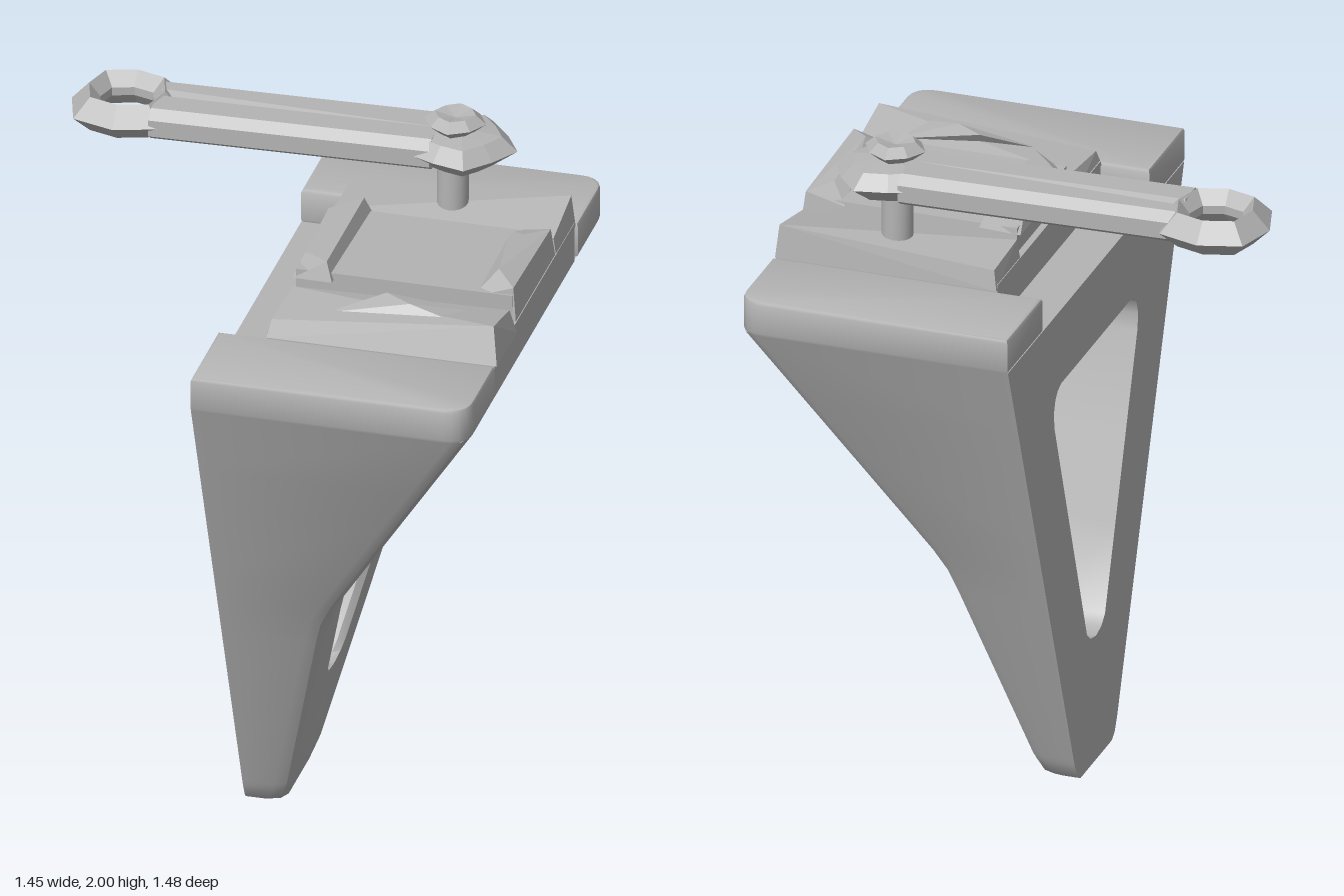
import * as THREE from 'three';
import { toCreasedNormals } from 'three/addons/utils/BufferGeometryUtils.js';
import { ConvexGeometry } from 'three/addons/geometries/ConvexGeometry.js';

const BACK = -0.09;
const TOP = 1.53;
// Profiles as [height, value]
const WIDTH = [[0, 0.13], [0.015, 0.155], [0.06, 0.178], [TOP, 0.735]];
const DEPTH = [[0, 0], [0.015, 0.025], [0.08, 0.05], [0.2, 0.08], [0.66, 0.195], [0.73, 0.215], [0.8, 0.25], [0.88, 0.3], [TOP, 0.71]];
const HOLE = [[0.385, 0], [0.395, 0.045], [0.42, 0.075], [1.18, 0.345], [1.23, 0.352], [1.27, 0.338], [1.29, 0.318], [1.3, 0.29]];

function sample(table, y) {
  if (y <= table[0][0]) return table[0][1];
  for (let i = 1; i < table.length; i++) {
    const [y0, a] = table[i - 1], [y1, b] = table[i];
    if (y <= y1) return a + (b - a) * (y - y0) / (y1 - y0);
  }
  return table[table.length - 1][1];
}

// Horizontal cross-section of one half of the bracket
function crossSection(y, h) {
  const w = sample(WIDTH, y), d = sample(DEPTH, y);
  const r = Math.min(0.045, (d - BACK) * 0.4);
  const s = h > 0 ? 0.02 : 0;
  return [[BACK, h], [BACK, w], [d - r, w], [d - r * 0.3, w - r * 0.3], [d, w - r], [d, h + s], [d - s, h]]
    .map(([x, z]) => new THREE.Vector3(x, y, z));
}

// Both legs, lofted upwards and mirrored; they join below and above the hole
function bracketGeometry() {
  const heights = [...new Set([...WIDTH, ...DEPTH, ...HOLE].map((p) => p[0]))].sort((a, b) => a - b);
  const rows = [];
  for (const y of heights) {
    const h = y > 1.3 ? 0 : sample(HOLE, y);
    rows.push({ h, ring: crossSection(y, h) });
    if (y === 1.3) rows.push({ h: 0, ring: crossSection(y, 0) });
  }
  const pos = [];
  const tri = (a, b, c) => {
    const area = b.clone().sub(a).cross(c.clone().sub(a)).length();
    if (area < 1e-7) return;
    for (const p of [a, b, c]) pos.push(p.x, p.y, p.z);
    for (const p of [a, c, b]) pos.push(p.x, p.y, -p.z);
  };
  const n = rows[0].ring.length;
  for (let j = 0; j + 1 < rows.length; j++) {
    const lo = rows[j], hi = rows[j + 1];
    for (let k = 0; k < n; k++) {
      const m = (k + 1) % n;
      if (k >= n - 2 && lo.h === 0 && hi.h === 0) continue;
      tri(lo.ring[k], lo.ring[m], hi.ring[m]);
      tri(lo.ring[k], hi.ring[m], hi.ring[k]);
    }
  }
  const bottom = rows[0].ring, top = rows[rows.length - 1].ring;
  for (let k = 1; k + 1 < n; k++) {
    tri(bottom[0], bottom[k + 1], bottom[k]);
    tri(top[0], top[k], top[k + 1]);
  }
  const g = new THREE.BufferGeometry();
  g.setAttribute('position', new THREE.Float32BufferAttribute(pos, 3));
  return toCreasedNormals(g, 0.6);
}

// End pad: rounded at its outer front corner, with softened edges
function padGeometry() {
  const b = 0.012, x0 = BACK + b, x1 = 0.715 - b, z0 = 0.445 + b, z1 = 0.74 - b, r = 0.06;
  const s = new THREE.Shape();
  s.moveTo(x0, -z0);
  s.lineTo(x0, -z1);
  s.lineTo(x1 - r, -z1);
  s.quadraticCurveTo(x1, -z1, x1, -z1 + r);
  s.lineTo(x1, -z0);
  s.closePath();
  const g = new THREE.ExtrudeGeometry(s, { depth: 0.11 - 2 * b, bevelThickness: b, bevelSize: b, bevelSegments: 2, curveSegments: 5 });
  g.rotateX(-Math.PI / 2).translate(0, TOP - 0.005 + b, 0);
  return toCreasedNormals(g, 0.6);
}

// The same pad for the other end, with its faces turned back outwards
function mirrorZ(geometry) {
  const g = geometry.clone().scale(1, 1, -1);
  for (const name of ['position', 'normal']) {
    const a = g.attributes[name];
    for (let i = 0; i < a.count; i += 3) {
      const p = [a.getX(i + 1), a.getY(i + 1), a.getZ(i + 1)];
      a.setXYZ(i + 1, a.getX(i + 2), a.getY(i + 2), a.getZ(i + 2));
      a.setXYZ(i + 2, ...p);
    }
  }
  return g;
}

const hull = (points) => new ConvexGeometry(points.map((p) => new THREE.Vector3(...p)));

// Block with a flat base and four free top corners
const block = (x0, x1, z0, z1, y, tops) =>
  hull([[x0, y, z0], [x1, y, z0], [x0, y, z1], [x1, y, z1], ...tops]);

// Faceted turned part; every other spoke is drawn in slightly
function faceted(profile, sides, shrink) {
  const g = new THREE.LatheGeometry(profile.map((p) => new THREE.Vector2(...p)), sides);
  const a = g.attributes.position;
  const rowLength = profile.length;
  for (let i = 0; i < a.count; i++) {
    const spoke = Math.floor(i / rowLength) % sides;
    if (spoke % 2) a.setXYZ(i, a.getX(i) * shrink, a.getY(i), a.getZ(i) * shrink);
  }
  return toCreasedNormals(g, 0.01);
}

export function createModel() {
  const model = new THREE.Group();
  const gray = new THREE.MeshStandardMaterial({ color: 0xb4b4b4 });
  gray.name = 'plain gray';
  const add = (name, geometry, x = 0, y = 0, z = 0) => {
    const mesh = new THREE.Mesh(geometry, gray);
    mesh.name = name;
    mesh.position.set(x, y, z);
    model.add(mesh);
    return mesh;
  };

  // Wall bracket and end pads
  add('bracket', bracketGeometry());
  const pad = padGeometry();
  add('frontPad', pad);
  add('rearPad', mirrorZ(pad));

  // Clamp bed and its three worn blocks
  add('clampBed', new THREE.BoxGeometry(0.66, 0.12, 0.86), 0.38, 1.585, 0);
  add('rearBlock', block(0.05, 0.71, -0.44, -0.235, 1.63,
    [[0.06, 1.69, -0.43], [0.7, 1.73, -0.43], [0.06, 1.7, -0.24], [0.7, 1.69, -0.24]]));
  add('frontBlock', block(0.05, 0.72, 0.225, 0.44, 1.63,
    [[0.06, 1.68, 0.42], [0.7, 1.735, 0.4], [0.07, 1.69, 0.23], [0.7, 1.7, 0.23]]));
  add('frontBlockRidge', hull([[0.2, 1.69, 0.36], [0.62, 1.7, 0.26], [0.36, 1.74, 0.29], [0.44, 1.74, 0.34], [0.62, 1.71, 0.38]]));
  add('middleBlock', block(0.07, 0.7, -0.22, 0.2, 1.63,
    [[0.07, 1.72, -0.21], [0.7, 1.72, -0.21], [0.07, 1.73, 0.2], [0.7, 1.73, 0.2]]));
  add('leftLip', hull([[0.06, 1.7, -0.21], [0.06, 1.7, 0.2], [0.18, 1.71, -0.22], [0.18, 1.71, 0.22],
    [0.07, 1.745, -0.15], [0.16, 1.765, -0.2], [0.08, 1.75, 0.13], [0.16, 1.765, 0.2]]));
  add('rightLip', hull([[0.71, 1.65, -0.22], [0.71, 1.65, 0.2], [0.58, 1.71, -0.22], [0.58, 1.71, 0.2],
    [0.7, 1.735, -0.21], [0.64, 1.745, -0.14], [0.7, 1.75, 0.19], [0.64, 1.768, 0.12]]));

  // Post carrying the swinging arm
  add('post', toCreasedNormals(new THREE.CylinderGeometry(0.045, 0.045, 0.22, 16), 0.6), 0.38, 1.79, -0.34);

  // Arm: two chamfered rails separated by a groove that closes towards the hub
  const rail = (ends) => hull(ends.flatMap(([x, z0, z1, c0, c1]) => [
    [x, 1.85, z0 + c0], [x, 1.85, z1 - c1], [x, 1.87, z0], [x, 1.87, z1],
    [x, 1.92, z0], [x, 1.92, z1], [x, 1.945, z0 + c0], [x, 1.945, z1 - c1]]));
  add('rearRail', rail([[-0.47, -0.43, -0.345, 0.03, 0.01], [0.34, -0.455, -0.335, 0.03, 0]]));
  add('frontRail', rail([[-0.47, -0.325, -0.205, 0.01, 0.03], [0.34, -0.335, -0.23, 0, 0.03]]));
  add('armCore', new THREE.BoxGeometry(0.8, 0.06, 0.06), -0.07, 1.895, -0.335);

  // Open eye at the far end of the arm
  const eye = add('armEye', faceted([[0.085, 1.885], [0.12, 1.845], [0.175, 1.895], [0.12, 1.95], [0.085, 1.91], [0.085, 1.885]], 8, 0.92), -0.565, 0, -0.33);
  eye.rotation.y = Math.PI / 4;

  // Faceted hub and the flared knob above it
  const hub = add('armHub', faceted([[0, 1.845], [0.09, 1.845], [0.165, 1.9], [0.12, 1.94], [0, 1.955]], 10, 0.86), 0.405, 0, -0.335);
  hub.rotation.y = 0.3;
  add('knob', faceted([[0, 1.93], [0.04, 1.935], [0.09, 1.975], [0.06, 2], [0, 1.985]], 8, 0.9), 0.39, 0, -0.33);

  return model;
}
